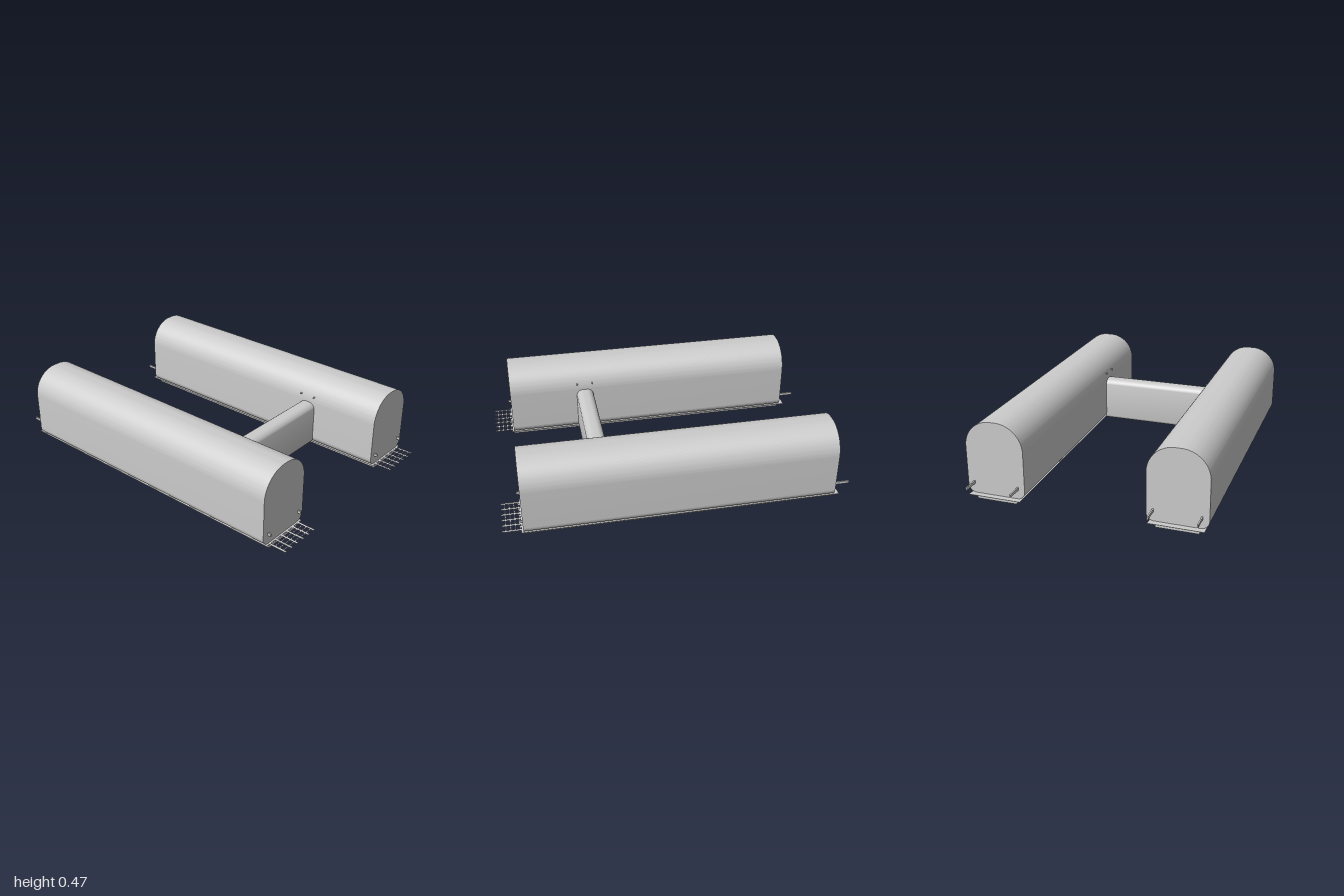
import * as THREE from 'three';
import { toCreasedNormals } from 'three/addons/utils/BufferGeometryUtils.js';

const material = new THREE.MeshStandardMaterial({ color: 0xcccccc });
const sheet = new THREE.MeshStandardMaterial({ color: 0xcccccc, side: THREE.DoubleSide });

function add(parent, name, geometry, x = 0, y = 0, z = 0, mat = material) {
  const mesh = new THREE.Mesh(geometry, mat);
  mesh.name = name;
  mesh.position.set(x, y, z);
  parent.add(mesh);
  return mesh;
}

// Rectangle standing on y = 0 with separate top and bottom corner radii
function roundedSection(width, height, top, bottom) {
  const w = width / 2, s = new THREE.Shape();
  s.moveTo(-w + bottom, 0);
  s.lineTo(w - bottom, 0);
  s.absarc(w - bottom, bottom, bottom, -Math.PI / 2, 0);
  s.absarc(w - top, height - top, top, 0, Math.PI / 2);
  s.absarc(-w + top, height - top, top, Math.PI / 2, Math.PI);
  s.absarc(-w + bottom, bottom, bottom, Math.PI, Math.PI * 1.5);
  return s;
}

function extrude(shape, depth, curveSegments, crease) {
  const g = new THREE.ExtrudeGeometry(shape, { depth, curveSegments, bevelEnabled: false });
  return toCreasedNormals(g, crease);
}

const BACK = -0.905, FRONT = 0.885, LENGTH = FRONT - BACK, FLOOR = 0.035;

function buildPod(side) {
  const pod = new THREE.Group();
  pod.name = side > 0 ? 'leftPod' : 'rightPod';
  pod.position.x = side * 0.515;

  // Long arched body
  add(pod, 'body', extrude(roundedSection(0.34, 0.43, 0.155, 0.045), LENGTH, 16, 0.6), 0, FLOOR, BACK);

  // Tapered base below the body
  const base = new THREE.Shape([
    new THREE.Vector2(-0.118, 0), new THREE.Vector2(0.118, 0),
    new THREE.Vector2(0.124, FLOOR), new THREE.Vector2(-0.124, FLOOR),
  ]);
  add(pod, 'base', extrude(base, LENGTH, 1, 0.3), 0, 0, BACK);

  // Thin floor plate showing around the base
  add(pod, 'floorPlate', new THREE.BoxGeometry(0.306, 0.002, 1.835), 0, FLOOR - 0.001, -0.0225);

  // Flat comb grille at the front
  const grille = new THREE.Group();
  grille.name = 'frontGrille';
  pod.add(grille);
  const bar = new THREE.PlaneGeometry(0.014, 0.12).rotateX(-Math.PI / 2);
  const rung = new THREE.PlaneGeometry(0.26, 0.006).rotateX(-Math.PI / 2);
  for (let i = 0; i < 6; i++) {
    add(grille, 'grilleBar', bar, -0.123 + i * 0.0492, FLOOR, 0.94, sheet);
  }
  for (let i = 0; i < 4; i++) {
    add(grille, 'grilleRung', rung, 0, FLOOR, 0.9 + i * 0.026, sheet);
  }

  // Slim rods running through the body
  for (const x of [-0.131, 0.131]) {
    add(pod, 'rod', new THREE.BoxGeometry(0.008, 0.016, 1.905), x, 0.098, -0.0475);
  }

  // Small pins on the inner wall above the cross beam
  for (const z of [0.365, 0.46]) {
    const pin = add(pod, 'pin', new THREE.CylinderGeometry(0.004, 0.004, 0.03, 8), -side * 0.165, 0.35, z);
    pin.rotation.z = Math.PI / 2;
  }
  return pod;
}

export function createModel() {
  const model = new THREE.Group();
  model.name = 'twinPodFrame';
  for (const side of [-1, 1]) model.add(buildPod(side));

  // Cross beam joining the pods
  const beam = extrude(roundedSection(0.106, 0.272, 0.04, 0.025), 0.7, 4, 0.5);
  add(model, 'crossBeam', beam, -0.35, 0.037, 0.412).rotation.y = Math.PI / 2;
  return model;
}
